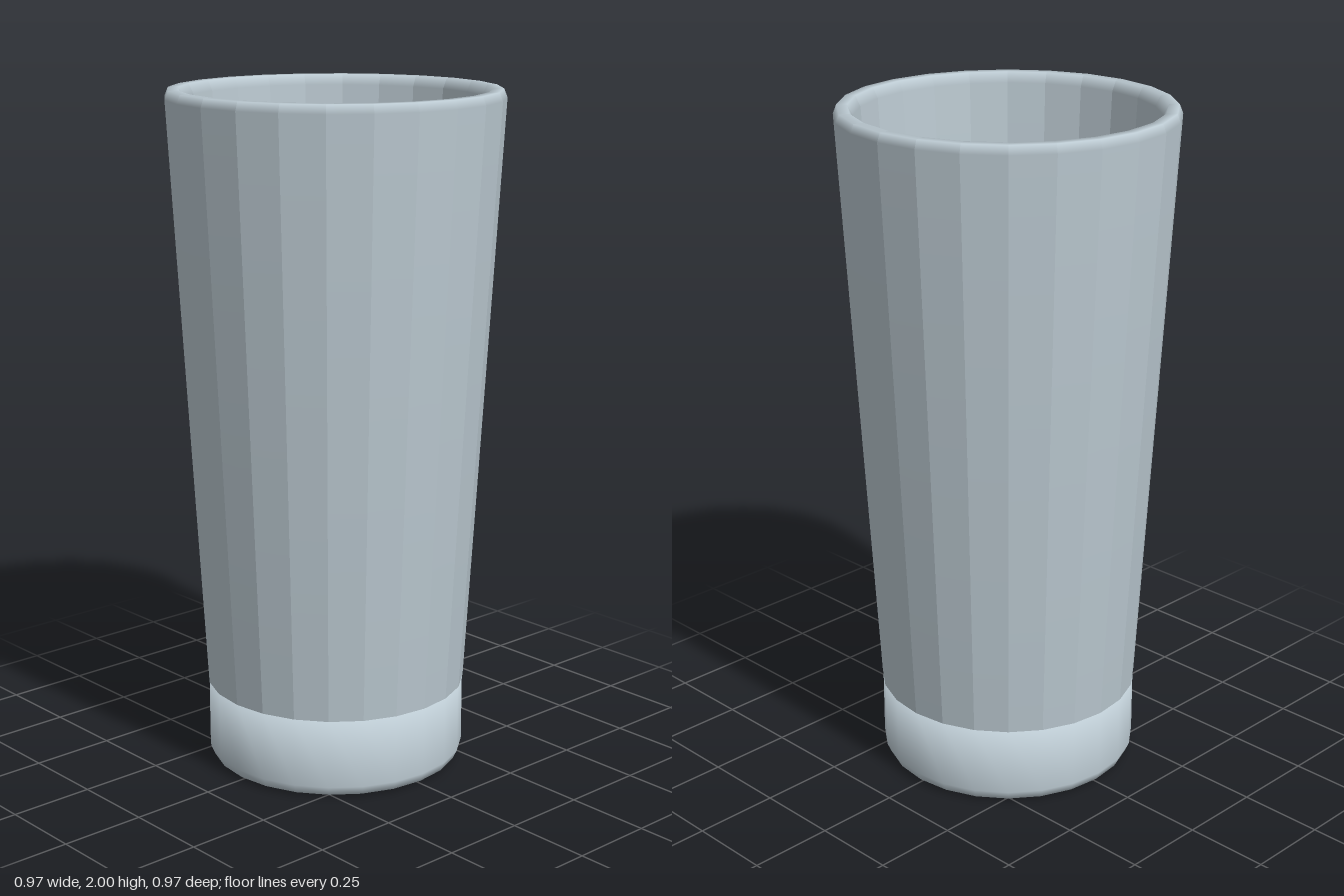
import * as THREE from 'three';
import { mergeGeometries } from 'three/addons/utils/BufferGeometryUtils.js';

const SIDES = 24;
const STEP = (Math.PI * 2) / SIDES;
const points = (list) => list.map(([r, y]) => new THREE.Vector2(r, y));

// One wall panel: smooth along its profile, flat across its width
function wallPanel(profile, index) {
  const geometry = new THREE.LatheGeometry(profile, 1, index * STEP, STEP);
  const normal = geometry.attributes.normal;
  const mid = (index + 0.5) * STEP;
  for (let i = 0; i < normal.count; i++) {
    const radial = profileSide(normal, i, mid);
    normal.setXYZ(i, radial * Math.sin(mid), normal.getY(i), radial * Math.cos(mid));
  }
  return geometry;
}

// Signed radial length of a normal, measured towards the panel's middle
function profileSide(normal, i, mid) {
  const x = normal.getX(i);
  const z = normal.getZ(i);
  return Math.sign(x * Math.sin(mid) + z * Math.cos(mid)) * Math.hypot(x, z);
}

export function createModel() {
  const glass = new THREE.MeshStandardMaterial({ color: 0xbccad2 });
  const model = new THREE.Group();
  model.name = 'tumbler';

  // Solid base with a bevelled foot; its top is the inner floor
  const baseProfile = points([[0, 0], [0.355, 0], [0.372, 0.008], [0.384, 0.035], [0.384, 0.24], [0, 0.24]]);
  const base = new THREE.Mesh(new THREE.LatheGeometry(baseProfile, SIDES), glass);
  base.name = 'base';
  model.add(base);

  // Faceted tapering wall with a rounded rim
  const wallProfile = points([
    [0.335, 0.24], [0.386, 0.24], [0.485, 1.975], [0.475, 2],
    [0.445, 2], [0.43, 1.97], [0.335, 0.24],
  ]);
  const panels = Array.from({ length: SIDES }, (_, i) => wallPanel(wallProfile, i));
  const wall = new THREE.Mesh(mergeGeometries(panels), glass);
  wall.name = 'wall';
  model.add(wall);

  return model;
}
